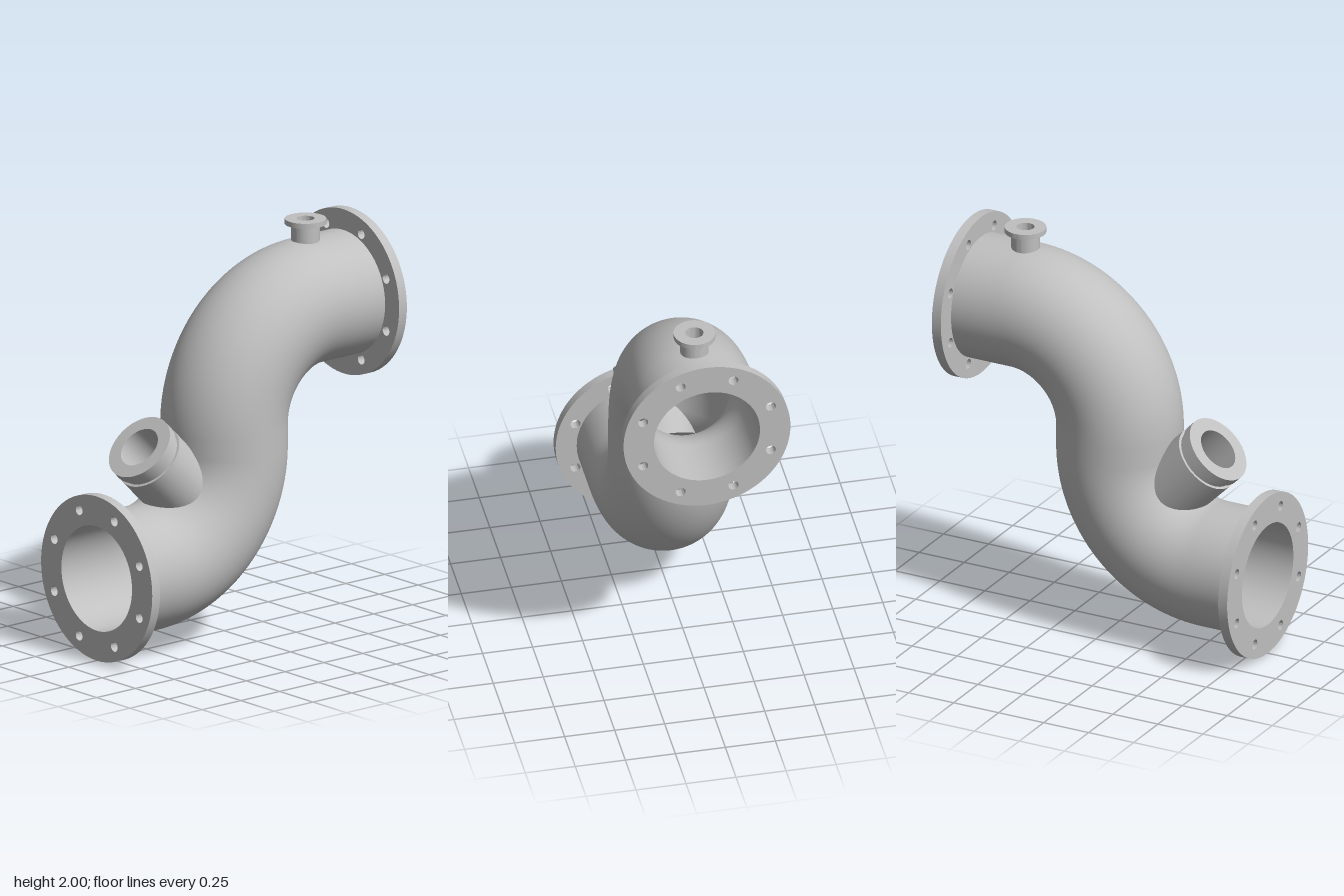
import * as THREE from 'three';
import { toCreasedNormals } from 'three/addons/utils/BufferGeometryUtils.js';

const OUTER = 0.312, BORE = 0.265, BEND = 0.53;
const LOW = 0.418, HIGH = 1.583;              // heights of the two pipe ends
const branchPos = new THREE.Vector3(-0.545, 1.035, 0);
const branchDir = new THREE.Vector3(-1, 1, 0).normalize();
const portPos = new THREE.Vector3(0.525, 2, 0);
const up = new THREE.Vector3(0, 1, 0);

// Centre line of the S-bend as stations: position and heading angle
function stations() {
  const list = [];
  const line = (x0, y0, x1, y1, a, n) => {
    for (let i = 0; i < n; i++) {
      const t = i / n;
      list.push({ x: x0 + (x1 - x0) * t, y: y0 + (y1 - y0) * t, a });
    }
  };
  const n = 56, q = Math.PI / 2;
  line(-0.775, LOW, -BEND, LOW, 0, 14);
  for (let i = 0; i < n; i++) {
    const a = q * i / n;
    list.push({ x: -BEND + BEND * Math.sin(a), y: LOW + BEND - BEND * Math.cos(a), a });
  }
  line(0, LOW + BEND, 0, HIGH - BEND, q, 6);
  for (let i = 0; i < n; i++) {
    const a = q * (1 - i / n);
    list.push({ x: BEND - BEND * Math.sin(a), y: HIGH - BEND + BEND * Math.cos(a), a });
  }
  line(BEND, HIGH, 0.775, HIGH, 0, 14);
  list.push({ x: 0.775, y: HIGH, a: 0 });
  return list;
}

// True where a side opening passes through the pipe wall
function inOpening(p) {
  const near = (origin, dir, radius, depth) => {
    const d = p.clone().sub(origin), t = d.dot(dir);
    return t > -depth && t < 0.05 && d.addScaledVector(dir, -t).length() < radius;
  };
  return near(branchPos, branchDir, 0.142, 0.4) || near(portPos, up, 0.058, 0.3);
}

// Round wall swept along the centre line, facing out or in
function pipeWall(radius, inward) {
  const path = stations(), sides = 96, pos = [], nor = [], index = [];
  for (const s of path) {
    for (let j = 0; j <= sides; j++) {
      const th = j / sides * Math.PI * 2;
      const nx = -Math.sin(s.a) * Math.cos(th), ny = Math.cos(s.a) * Math.cos(th), nz = Math.sin(th);
      pos.push(s.x + radius * nx, s.y + radius * ny, radius * nz);
      const f = inward ? -1 : 1;
      nor.push(nx * f, ny * f, nz * f);
    }
  }
  const vert = i => new THREE.Vector3().fromArray(pos, i * 3);
  const face = (a, b, c) => {
    const mid = vert(a).add(vert(b)).add(vert(c)).divideScalar(3);
    if (inOpening(mid)) return;
    if (inward) index.push(a, c, b); else index.push(a, b, c);
  };
  for (let i = 0; i < path.length - 1; i++) {
    for (let j = 0; j < sides; j++) {
      const a = i * (sides + 1) + j, b = a + 1, c = a + sides + 1, d = c + 1;
      face(a, b, c);
      face(b, d, c);
    }
  }
  const g = new THREE.BufferGeometry();
  g.setAttribute('position', new THREE.Float32BufferAttribute(pos, 3));
  g.setAttribute('normal', new THREE.Float32BufferAttribute(nor, 3));
  g.setIndex(index);
  return g;
}

// Ring plate with eight bolt holes
function flangeGeometry() {
  const shape = new THREE.Shape().absarc(0, 0, 0.417, 0, Math.PI * 2, false);
  const hole = (x, y, r) => shape.holes.push(new THREE.Path().absarc(x, y, r, 0, Math.PI * 2, true));
  hole(0, 0, BORE);
  for (let k = 0; k < 8; k++) {
    const a = (k + 0.5) * Math.PI / 4;
    hole(0.345 * Math.cos(a), 0.345 * Math.sin(a), 0.025);
  }
  const g = new THREE.ExtrudeGeometry(shape, { depth: 0.05, bevelEnabled: false, curveSegments: 48 });
  g.rotateY(Math.PI / 2);
  return toCreasedNormals(g, 0.6);
}

// Turned part from a closed profile of [radius, height]
function turned(profile) {
  const pts = profile.map(p => new THREE.Vector2(p[0], p[1]));
  return toCreasedNormals(new THREE.LatheGeometry(pts, 64), 0.6);
}

export function createModel() {
  const model = new THREE.Group();
  model.name = 'pipeElbow';
  const metal = new THREE.MeshStandardMaterial({ color: 0xc0c0c0 });
  metal.name = 'lightGreyMetal';
  const add = (name, geometry, x = 0, y = 0) => {
    const mesh = new THREE.Mesh(geometry, metal);
    mesh.name = name;
    mesh.position.set(x, y, 0);
    model.add(mesh);
    return mesh;
  };

  // S-shaped pipe
  add('pipeOuterWall', pipeWall(OUTER, false));
  add('pipeInnerWall', pipeWall(BORE, true));

  // End flanges
  const flange = flangeGeometry();
  add('lowerFlange', flange, -0.82, LOW);
  add('upperFlange', flange, 0.77, HIGH);

  // Slanted branch with a groove near its mouth
  const branch = add('branchSocket', turned([
    [0.107, -0.38], [0.177, -0.38], [0.177, -0.085], [0.163, -0.085],
    [0.163, -0.05], [0.177, -0.05], [0.177, 0], [0.107, 0], [0.107, -0.38],
  ]), branchPos.x, branchPos.y);
  branch.rotation.z = Math.PI / 4;

  // Small flanged port on top, reaching into the pipe
  add('topPort', turned([
    [0.044, -0.21], [0.07, -0.21], [0.07, -0.026], [0.102, -0.026],
    [0.102, 0], [0.044, 0], [0.044, -0.21],
  ]), portPos.x, portPos.y);

  return model;
}
